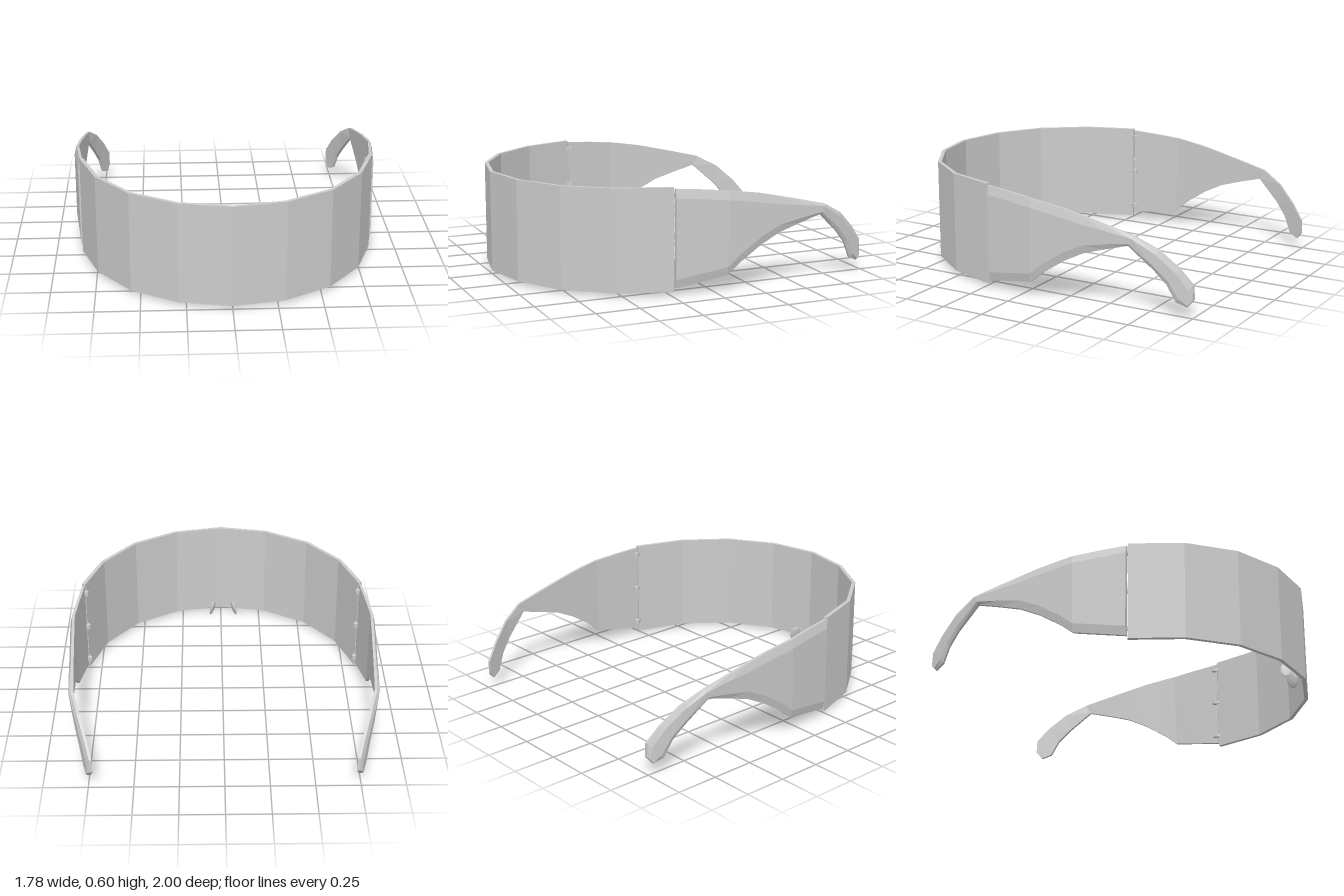
import * as THREE from 'three';

const material = new THREE.MeshStandardMaterial({ color: 0xcccccc, flatShading: true });

function add(parent, name, geometry) {
  const mesh = new THREE.Mesh(geometry, material);
  mesh.name = name;
  parent.add(mesh);
  return mesh;
}

// Faceted wraparound shield: plan outline [x, z] raised along y
function visorGeometry() {
  const outer = [[0, 1], [0.295, 0.94], [0.555, 0.78], [0.745, 0.53], [0.845, 0.235]];
  const inner = [[0, 0.978], [0.287, 0.92], [0.541, 0.764], [0.726, 0.52], [0.823, 0.228]];
  const mirror = (pts) => pts.slice(1).reverse().map(([x, z]) => [-x, z]).concat(pts);
  const outline = [...mirror(outer), ...mirror(inner).reverse()];
  const shape = new THREE.Shape(outline.map(([x, z]) => new THREE.Vector2(x, -z)));
  return new THREE.ExtrudeGeometry(shape, { depth: 0.58, bevelEnabled: false })
    .rotateX(-Math.PI / 2).translate(0, 0.02, 0);
}

// Outer x of the temple at a given z
const BOW = [[0.225, 0.855], [-0.08, 0.892], [-0.69, 0.862], [-0.84, 0.815], [-1, 0.75]];
function bowX(z) {
  let i = 0;
  while (i < BOW.length - 2 && z < BOW[i + 1][0]) i++;
  const [z0, x0] = BOW[i], [z1, x1] = BOW[i + 1];
  return THREE.MathUtils.lerp(x0, x1, (z - z0) / (z1 - z0));
}

// Temple rows: top z, top y, bottom z, bottom y
const ROWS = [
  [0.225, 0.59, 0.225, 0.04], [0.07, 0.578, 0.07, 0.066], [-0.08, 0.563, -0.07, 0.09],
  [-0.15, 0.553, -0.15, 0.155], [-0.28, 0.532, -0.28, 0.24], [-0.4, 0.505, -0.4, 0.3],
  [-0.53, 0.475, -0.53, 0.34], [-0.695, 0.435, -0.665, 0.378], [-0.82, 0.368, -0.8, 0.255],
  [-0.925, 0.27, -0.865, 0.18], [-0.995, 0.18, -0.91, 0.085], [-0.998, 0.1, -0.965, 0.06],
];

// Loft of six-sided sections with chamfered outer edges
function templeGeometry(side) {
  const positions = [], index = [], n = 6, thick = 0.028;
  const tri = (a, b, c) => index.push(...(side > 0 ? [a, b, c] : [a, c, b]));
  ROWS.forEach(([tz, ty, bz, by]) => {
    const chamfer = Math.min(0.05, 0.22 * Math.hypot(ty - by, tz - bz)) / Math.hypot(ty - by, tz - bz);
    const section = [[0, thick], [0, 0.012], [chamfer, 0], [1 - chamfer, 0], [1, 0.012], [1, thick]];
    section.forEach(([t, inset]) => {
      const z = THREE.MathUtils.lerp(tz, bz, t);
      positions.push(side * (bowX(z) - inset), THREE.MathUtils.lerp(ty, by, t), z);
    });
  });
  const last = (ROWS.length - 1) * n;
  for (let i = 0; i < last; i += n) {
    for (let k = 0; k < n; k++) {
      const a = i + k, b = i + (k + 1) % n;
      tri(a, b, b + n);
      tri(a, b + n, a + n);
    }
  }
  for (let k = 1; k < n - 1; k++) {
    tri(0, k + 1, k);
    tri(last, last + k, last + k + 1);
  }
  const geometry = new THREE.BufferGeometry();
  geometry.setAttribute('position', new THREE.Float32BufferAttribute(positions, 3));
  geometry.setIndex(index);
  const flat = geometry.toNonIndexed();
  flat.computeVertexNormals();
  return flat;
}

// Small barrel and leaf joining shield and temple
function hinge(side, y) {
  const group = new THREE.Group();
  group.name = 'hinge';
  add(group, 'hingeBarrel', new THREE.CylinderGeometry(0.014, 0.014, 0.026, 10))
    .position.set(side * 0.817, y, 0.208);
  const leaf = add(group, 'hingeLeaf', new THREE.BoxGeometry(0.014, 0.02, 0.045));
  leaf.position.set(side * 0.822, y, 0.228);
  leaf.rotation.y = side * 0.3;
  return group;
}

// Oval pad on a thin curved wire
function nosePad(side) {
  const group = new THREE.Group();
  group.name = 'nosePad';
  const x = side * 0.07;
  const pad = add(group, 'pad', new THREE.SphereGeometry(1, 14, 10).scale(0.011, 0.05, 0.034));
  pad.position.set(x, 0.05, 0.908);
  pad.rotation.set(0, -side * 0.35, side * 0.25);
  const wire = new THREE.CatmullRomCurve3([
    new THREE.Vector3(x, 0.05, 0.91),
    new THREE.Vector3(x - side * 0.012, 0.055, 0.94),
    new THREE.Vector3(x + side * 0.005, 0.06, 0.955),
    new THREE.Vector3(x + side * 0.005, 0.06, 0.975),
  ]);
  add(group, 'padWire', new THREE.TubeGeometry(wire, 10, 0.005, 6));
  group.position.x = -0.015;
  return group;
}

export function createModel() {
  const model = new THREE.Group();
  model.name = 'visorGlasses';
  add(model, 'visor', visorGeometry());
  for (const side of [1, -1]) {
    add(model, side > 0 ? 'leftTemple' : 'rightTemple', templeGeometry(side));
    for (const y of [0.09, 0.32, 0.55]) model.add(hinge(side, y));
    model.add(nosePad(side));
  }
  return model;
}
